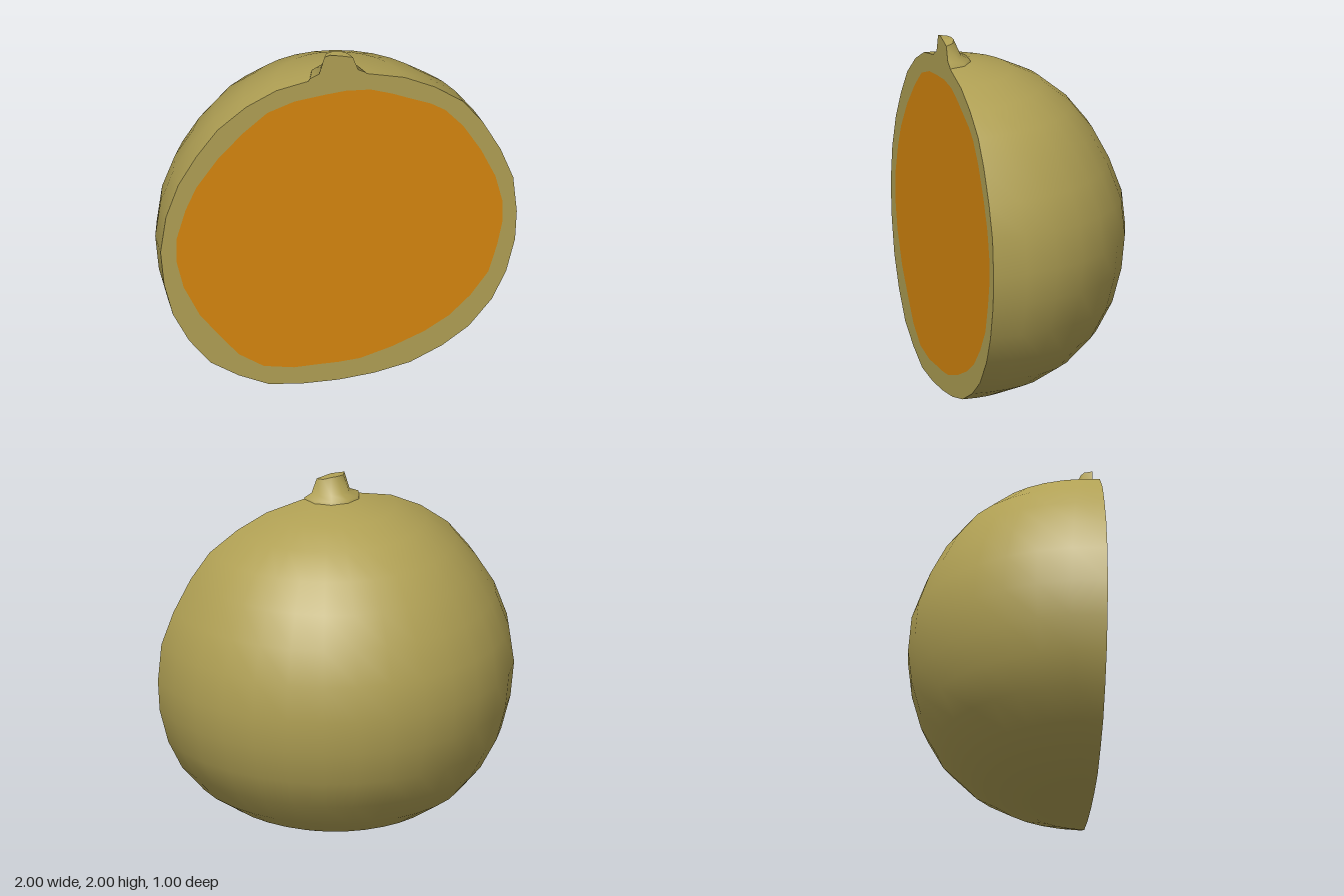
import * as THREE from 'three';

const CUT = 0.5; // z of the flat cut

// Half profiles from base to crown: [radius, height]
const LEFT = [[0, 0.003], [0.2, 0.02], [0.4, 0.06], [0.58, 0.14], [0.73, 0.24], [0.86, 0.39], [0.94, 0.55], [0.99, 0.74], [1, 0.91],
  [0.98, 1.12], [0.91, 1.3], [0.81, 1.48], [0.7, 1.62], [0.54, 1.73], [0.37, 1.81], [0.16, 1.86], [0, 1.87]];
const RIGHT = [[0, 0.003], [0.2, 0.005], [0.39, 0.025], [0.56, 0.1], [0.72, 0.2], [0.84, 0.35], [0.93, 0.52], [0.98, 0.71], [1, 0.91],
  [0.97, 1.12], [0.9, 1.31], [0.8, 1.47], [0.68, 1.62], [0.52, 1.74], [0.35, 1.82], [0.17, 1.855], [0, 1.87]];
const BACK = [[0, 0.003], [0.18, 0.01], [0.37, 0.043], [0.55, 0.11], [0.7, 0.21], [0.84, 0.36], [0.93, 0.53], [0.98, 0.72], [1, 0.91],
  [0.98, 1.11], [0.91, 1.3], [0.82, 1.47], [0.7, 1.62], [0.55, 1.74], [0.38, 1.82], [0.19, 1.86], [0, 1.87]];

// Outline of the stem on the cut, from the model's left to its right
const STEM_OUTLINE = [[0.15, 1.87], [0.11, 1.89], [0.08, 1.97], [0.02, 1.985], [-0.05, 2], [-0.08, 1.99], [-0.11, 1.89], [-0.16, 1.87]];

// Outline of the flesh
const FLESH = [[0.04, 1.77], [0.18, 1.76], [0.3, 1.72], [0.42, 1.67], [0.52, 1.63], [0.6, 1.58], [0.7, 1.47], [0.8, 1.31], [0.88, 1.14],
  [0.92, 0.98], [0.92, 0.86], [0.89, 0.72], [0.84, 0.56], [0.74, 0.43], [0.62, 0.32], [0.48, 0.24], [0.3, 0.17], [0.12, 0.12],
  [0, 0.112], [-0.12, 0.112], [-0.25, 0.11], [-0.42, 0.14], [-0.56, 0.23], [-0.67, 0.36], [-0.78, 0.5], [-0.87, 0.68], [-0.91, 0.84],
  [-0.91, 0.98], [-0.86, 1.15], [-0.8, 1.28], [-0.68, 1.44], [-0.54, 1.58], [-0.4, 1.69], [-0.25, 1.74], [-0.08, 1.76]];

// Half turn behind the cut, blending the left, back and right profiles
function halfLoft(left, back, right, segments) {
  const position = [], index = [], row = segments + 1;
  back.forEach(([br, by], i) => {
    for (let j = 0; j <= segments; j++) {
      const a = (j / segments) * Math.PI, c = Math.cos(a), w = c * c;
      const [sr, sy] = (c > 0 ? left : right)[i];
      const r = br + (sr - br) * w;
      position.push(r * c, by + (sy - by) * w, CUT - r * Math.sin(a));
      if (i < back.length - 1 && j < segments) {
        const p = i * row + j;
        if (br > 0) index.push(p, p + 1, p + row);
        if (back[i + 1][0] > 0) index.push(p + 1, p + row + 1, p + row);
      }
    }
  });
  const g = new THREE.BufferGeometry();
  g.setAttribute('position', new THREE.Float32BufferAttribute(position, 3));
  g.setIndex(index);
  g.computeVertexNormals();
  return g;
}

const toPoints = (list) => list.map(([x, y]) => new THREE.Vector2(x, y));

export function createModel() {
  const rind = new THREE.MeshStandardMaterial({ color: 0xb0a054 });
  rind.name = 'rind olive';
  const orange = new THREE.MeshStandardMaterial({ color: 0xd6860f });
  orange.name = 'flesh orange';

  const model = new THREE.Group();
  model.name = 'halvedFruit';
  const add = (name, geometry, material) => {
    const mesh = new THREE.Mesh(geometry, material);
    mesh.name = name;
    model.add(mesh);
  };

  // Rounded rind
  add('rind', halfLoft(LEFT, BACK, RIGHT, 16), rind);

  // Flared stem and its slanted tip
  add('stem', halfLoft(
    [[0.16, 1.84], [0.15, 1.87], [0.11, 1.89], [0.08, 1.97]],
    [[0.16, 1.84], [0.15, 1.88], [0.1, 1.9], [0.06, 1.99]],
    [[0.17, 1.84], [0.16, 1.87], [0.11, 1.89], [0.08, 1.99]], 5), rind);
  add('stemTip', halfLoft(
    [[0.08, 1.97], [0, 1.99]],
    [[0.06, 1.99], [0, 1.99]],
    [[0.08, 1.99], [0, 1.99]], 5), rind);

  // Flat cut: rind ring with the flesh set flush in it
  const ring = new THREE.Shape(toPoints([
    ...LEFT.slice(0, -1), ...STEM_OUTLINE,
    ...RIGHT.slice(1, -1).reverse().map(([r, y]) => [-r, y])]));
  ring.holes.push(new THREE.Path(toPoints(FLESH)));
  add('cutRind', new THREE.ShapeGeometry(ring).translate(0, 0, CUT), rind);
  add('flesh', new THREE.ShapeGeometry(new THREE.Shape(toPoints(FLESH))).translate(0, 0, CUT), orange);

  return model;
}
